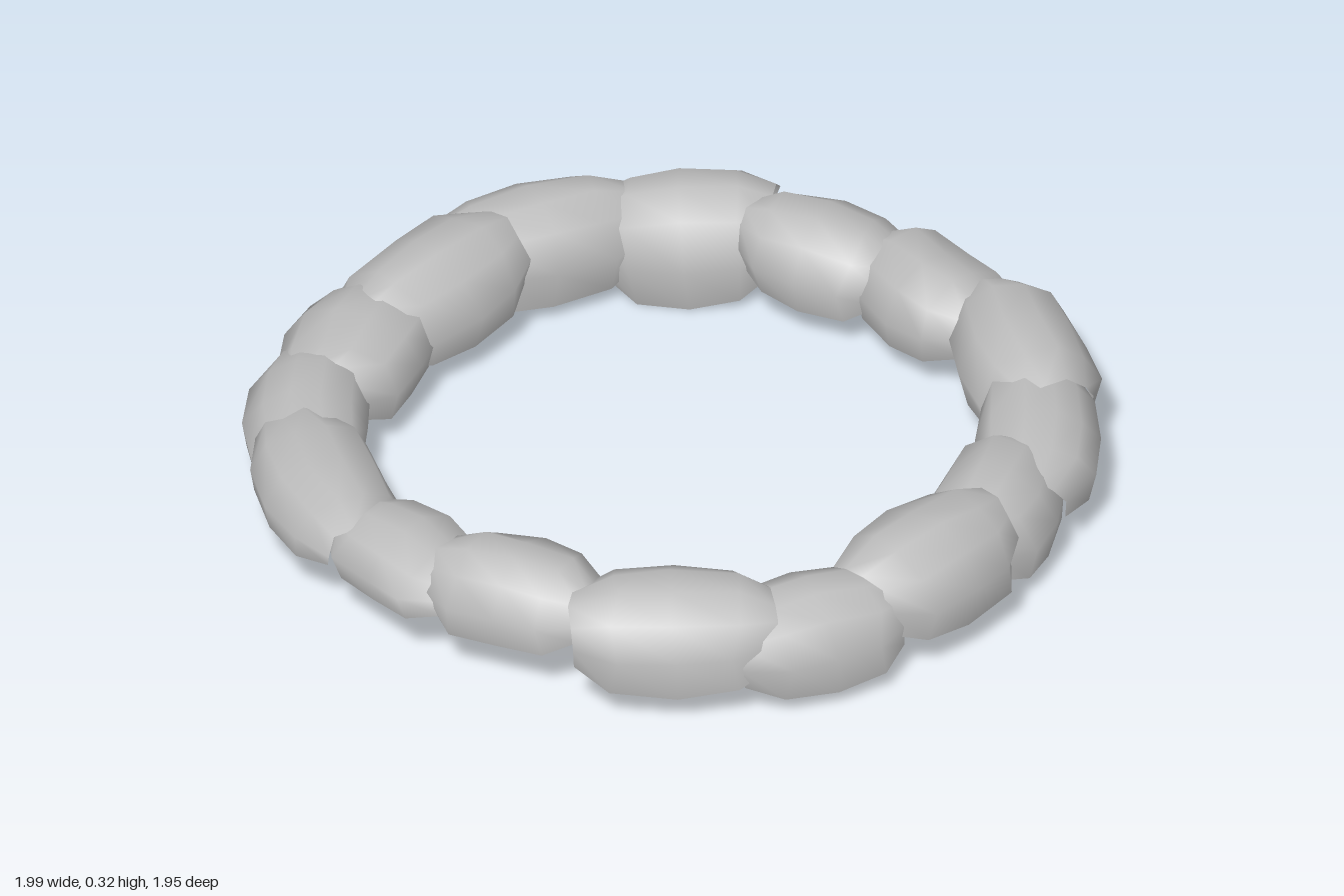
import * as THREE from 'three';

// Each stone: x, z, half length, half width, top, inner foot, outer foot, pitch
const STONES = [
  [-0.08, -0.805, 0.19, 0.155, 0.31, 0.10, 0.12, 0.03],
  [0.23, -0.80, 0.19, 0.16, 0.30, 0.10, 0.12, 0],
  [0.56, -0.68, 0.23, 0.16, 0.325, 0.09, 0.11, 0],
  [0.75, -0.42, 0.24, 0.15, 0.275, 0.10, 0.12, 0.05],
  [0.80, -0.15, 0.20, 0.16, 0.285, 0.05, 0.07, 0],
  [0.81, 0.17, 0.22, 0.175, 0.335, 0.07, 0.11, 0],
  [0.70, 0.49, 0.21, 0.15, 0.29, 0.06, 0.06, 0],
  [0.45, 0.71, 0.24, 0.165, 0.335, 0.10, 0.10, 0],
  [0.07, 0.80, 0.19, 0.155, 0.335, 0.11, 0.14, 0],
  [-0.23, 0.79, 0.19, 0.155, 0.285, 0.12, 0.14, 0],
  [-0.54, 0.67, 0.25, 0.155, 0.295, 0.11, 0.13, 0],
  [-0.75, 0.43, 0.23, 0.15, 0.27, 0.09, 0.11, 0],
  [-0.815, 0.12, 0.20, 0.175, 0.285, 0.09, 0.10, 0],
  [-0.78, -0.16, 0.23, 0.17, 0.33, 0.10, 0.11, -0.08],
  [-0.70, -0.50, 0.24, 0.15, 0.305, 0.06, 0.10, 0],
  [-0.43, -0.75, 0.21, 0.165, 0.31, 0.02, 0.04, -0.1],
];

// Arched section from the inner foot, over the top, to the outer foot:
// sideways position and height between foot and top
const SECTION = [[-0.85, 0], [-1, 0.42], [-0.75, 0.82], [-0.25, 1], [0.25, 0.98], [0.7, 0.78], [1, 0.42], [0.9, 0]];
// Stations along the stone: position, width scale, height scale
const STATIONS = [[-1, 0.58, 0.6], [-0.62, 0.9, 0.9], [0, 1, 1], [0.58, 0.94, 0.93], [1, 0.62, 0.6]];

function seeded(seed) {
  let s = seed;
  return () => {
    s = (s * 16807) % 2147483647;
    return s / 2147483647 - 0.5;
  };
}

// Hollow stone shell, open underneath and at its tucked-in ends; y = 0 is mid height
function stoneGeometry(halfLength, halfWidth, top, innerFoot, outerFoot, rand) {
  const pos = [];
  const index = [];
  const n = SECTION.length;
  for (const [t, w, h] of STATIONS) {
    const lean = rand() * 0.02;
    for (const [r, f] of SECTION) {
      const foot = r < 0 ? innerFoot : outerFoot;
      pos.push(
        r * w * halfWidth + lean + rand() * 0.012,
        (foot + (top - foot) * f) * h + rand() * 0.01,
        t * halfLength + rand() * 0.025,
      );
    }
  }
  for (let i = 0; i < STATIONS.length - 1; i++) {
    for (let j = 0; j < n - 1; j++) {
      const a = i * n + j, b = a + 1, c = a + n, d = c + 1;
      index.push(a, c, b, b, c, d);
    }
  }
  const geo = new THREE.BufferGeometry();
  geo.setAttribute('position', new THREE.Float32BufferAttribute(pos, 3));
  geo.setIndex(index);
  geo.computeVertexNormals();
  return geo;
}

export function createModel() {
  const model = new THREE.Group();
  model.name = 'stoneRing';
  const stoneGrey = new THREE.MeshStandardMaterial({ color: 0xbcbcbc, side: THREE.DoubleSide });
  stoneGrey.name = 'stoneGrey';

  STONES.forEach(([x, z, len, wid, top, inner, outer, pitch], i) => {
    const mid = (top + (inner + outer) / 2) / 2;
    const rand = seeded(911 + i * 7919);
    const geo = stoneGeometry(len, wid, top - mid, inner - mid, outer - mid, rand);
    const stone = new THREE.Mesh(geo, stoneGrey);
    stone.name = `stone${i + 1}`;
    stone.position.set(x, mid, z);
    stone.rotation.order = 'YXZ';
    stone.rotation.set(pitch, Math.atan2(-z, x), 0); // local x points outward
    model.add(stone);
  });
  return model;
}
